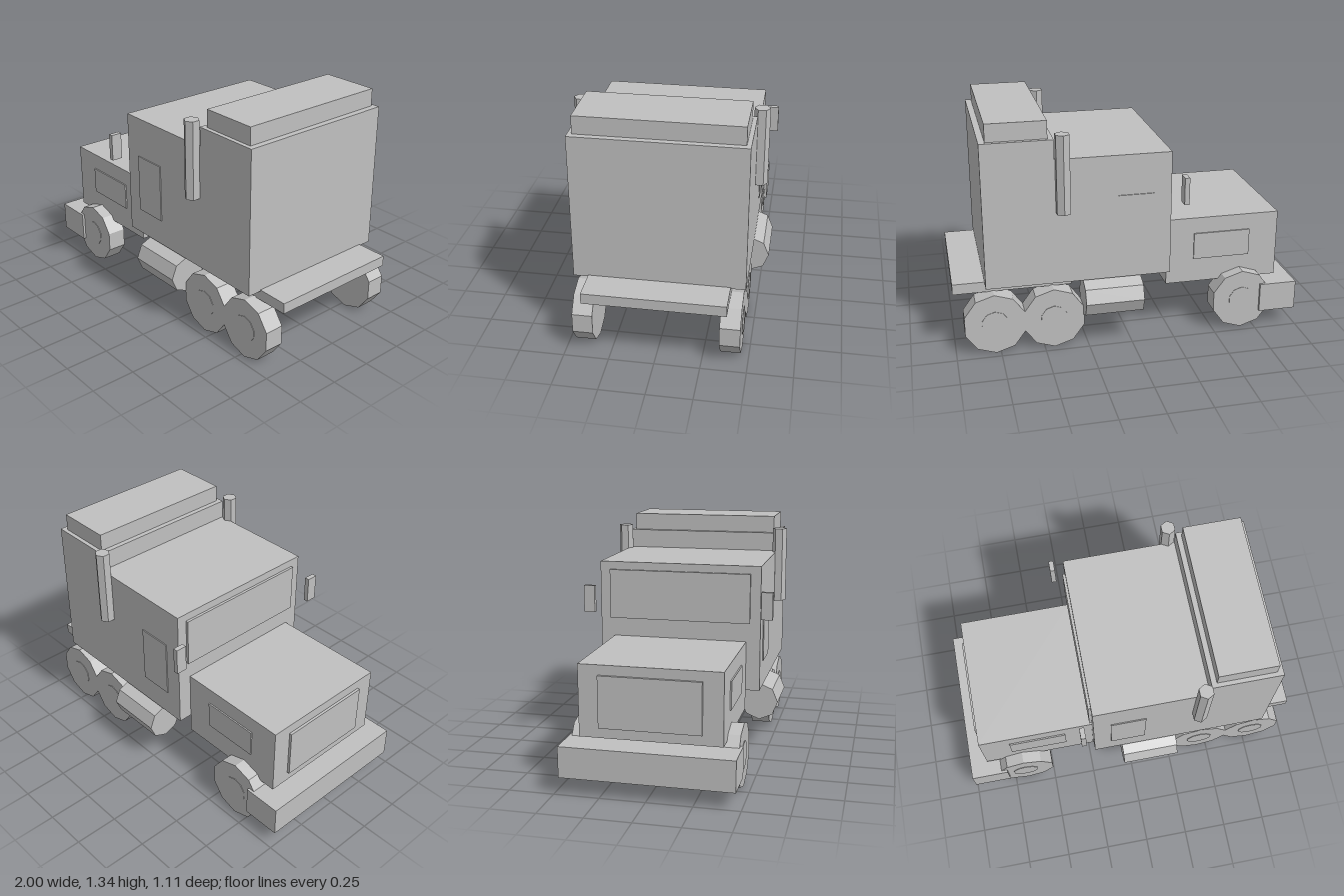
import * as THREE from 'three';

export function createModel() {
  const model = new THREE.Group();
  model.name = 'truck';
  const grey = new THREE.MeshStandardMaterial({ color: 0xc0c0c0, flatShading: true });
  grey.name = 'plain grey';

  const add = (name, geometry, x, y, z) => {
    const mesh = new THREE.Mesh(geometry, grey);
    mesh.name = name;
    mesh.position.set(x, y, z);
    model.add(mesh);
    return mesh;
  };
  // Box given by its limits on each axis
  const box = (name, x0, x1, y0, y1, z0, z1) =>
    add(name, new THREE.BoxGeometry(x1 - x0, y1 - y0, z1 - z0),
      (x0 + x1) / 2, (y0 + y1) / 2, (z0 + z1) / 2);

  // Body, with the nose towards -x
  box('bumper', -1, -0.78, 0.095, 0.267, -0.472, 0.472);
  box('hood', -0.893, -0.225, 0.293, 0.69, -0.388, 0.388);
  box('grille', -0.908, -0.893, 0.35, 0.635, -0.278, 0.278);
  box('cab', -0.225, 0.425, 0.405, 1.125, -0.469, 0.469);
  box('windshield', -0.24, -0.225, 0.797, 1.08, -0.41, 0.41);
  box('sleeper', 0.425, 0.82, 0.405, 1.235, -0.469, 0.469);
  box('roofFairing', 0.455, 0.785, 1.235, 1.335, -0.445, 0.445);
  box('chassisDeck', 0.33, 1, 0.352, 0.413, -0.388, 0.388);

  for (const s of [1, -1]) {
    const side = s > 0 ? 'Left' : 'Right';
    // Box that is mirrored across the long axis
    const sideBox = (name, x0, x1, y0, y1, z0, z1) =>
      box(name + side, x0, x1, y0, y1, s > 0 ? z0 : -z1, s > 0 ? z1 : -z0);

    sideBox('hoodVent', -0.722, -0.388, 0.438, 0.595, 0.388, 0.396);
    sideBox('doorPanel', -0.125, 0.077, 0.558, 0.895, 0.469, 0.475);
    sideBox('mirror', -0.305, -0.277, 0.838, 0.993, 0.483, 0.547);

    // Six-sided exhaust stack
    add('exhaust' + side, new THREE.CylinderGeometry(0.043, 0.043, 0.445, 6),
      0.385, 1.048, s * 0.491);

    // Eight-sided fuel tank lying along the truck
    add('fuelTank' + side, new THREE.CylinderGeometry(0.11, 0.11, 0.333, 8).rotateZ(Math.PI / 2),
      0.109, 0.29, s * 0.445);

    // Ten-sided wheels with thin hub discs
    for (const x of [-0.67, 0.442, 0.776]) {
      add('wheel' + side, new THREE.CylinderGeometry(0.179, 0.179, 0.112, 10).rotateX(Math.PI / 2),
        x, 0.179, s * 0.401);
      add('hub' + side, new THREE.CylinderGeometry(0.078, 0.078, 0.006, 10).rotateX(Math.PI / 2),
        x, 0.179, s * 0.457);
    }
  }
  return model;
}
